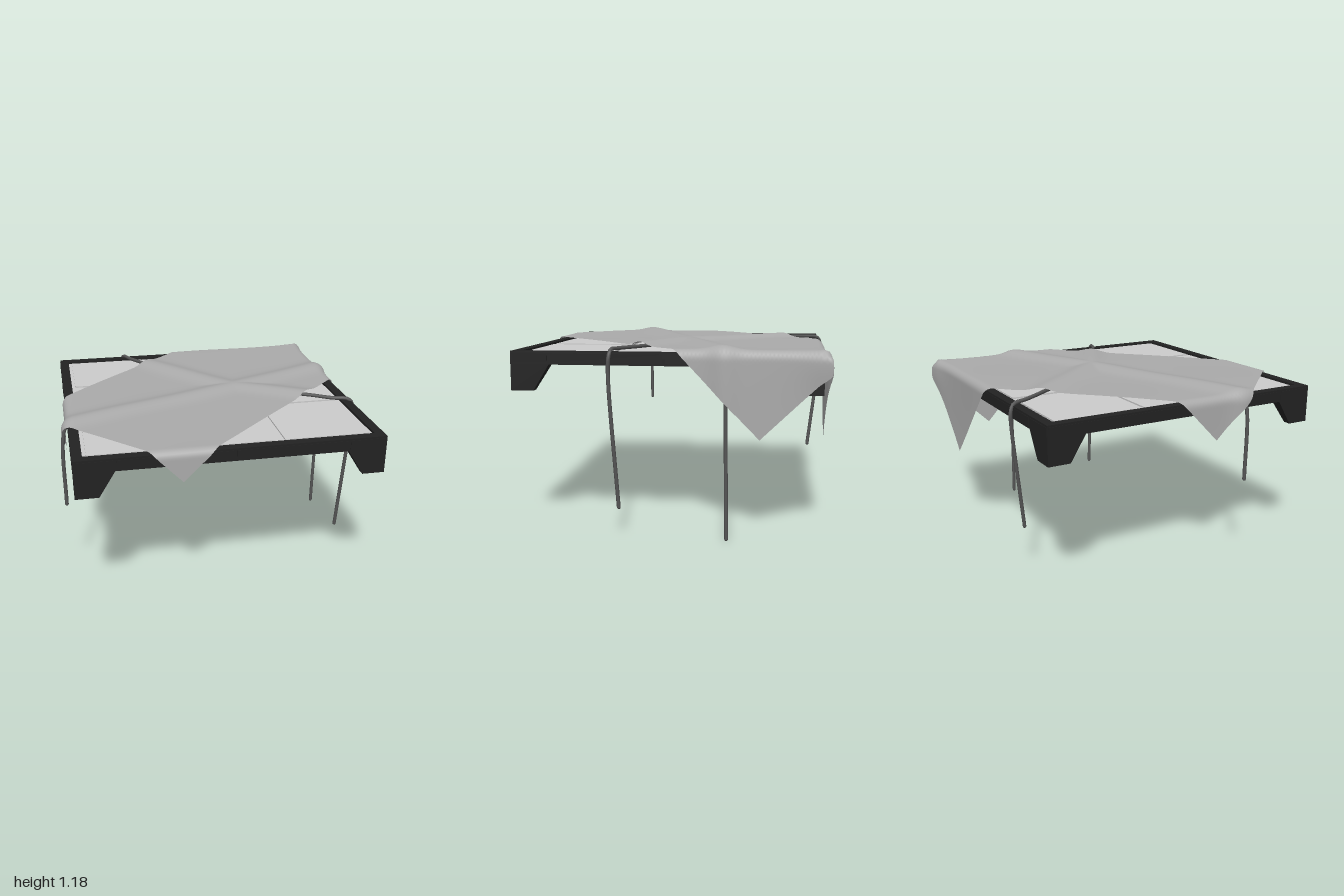
import * as THREE from 'three';
import { ConvexGeometry } from 'three/addons/geometries/ConvexGeometry.js';

const CZ = 0.01; // platform centre in z
const HALF = 0.94;

const mat = (color, extra = {}) => new THREE.MeshStandardMaterial({ color, ...extra });
const black = mat(0x222222);
const panelGrey = mat(0xcccccc);
const ropeGrey = mat(0x555555);
const clothGrey = mat(0xaaaaaa, { side: THREE.DoubleSide });

function add(parent, name, geometry, material, x = 0, y = 0, z = 0) {
  const mesh = new THREE.Mesh(geometry, material);
  mesh.name = name;
  mesh.position.set(x, y, z);
  parent.add(mesh);
  return mesh;
}

// Frame, inset floor, nine raised panels and side plates
function buildPlatform() {
  const g = new THREE.Group();
  g.name = 'platform';
  g.position.z = CZ;
  const inner = 0.88;
  add(g, 'underside', new THREE.BoxGeometry(2 * inner, 0.03, 2 * inner), black, 0, 1.065, 0);
  add(g, 'floor', new THREE.BoxGeometry(2 * inner, 0.04, 2 * inner), panelGrey, 0, 1.095, 0);
  for (let i = -1; i <= 1; i++) {
    for (let j = -1; j <= 1; j++) {
      add(g, 'floorPanel', new THREE.BoxGeometry(0.53, 0.01, 0.53), panelGrey, i * 0.592, 1.119, j * 0.592);
    }
  }
  const rim = new THREE.Shape();
  rim.moveTo(-HALF, -HALF).lineTo(HALF, -HALF).lineTo(HALF, HALF).lineTo(-HALF, HALF).closePath();
  const hole = new THREE.Path();
  hole.moveTo(-inner, -inner).lineTo(-inner, inner).lineTo(inner, inner).lineTo(inner, -inner).closePath();
  rim.holes.push(hole);
  const rimGeo = new THREE.ExtrudeGeometry(rim, { depth: 0.08, bevelEnabled: false });
  rimGeo.rotateX(-Math.PI / 2);
  add(g, 'rim', rimGeo, black, 0, 1.05, 0);
  for (let k = 0; k < 4; k++) {
    const side = new THREE.Group();
    side.name = 'rimSide';
    side.rotation.y = k * Math.PI / 2;
    for (const s of [-1, 1]) {
      add(side, 'sidePlate', new THREE.BoxGeometry(0.68, 0.055, 0.006), black, s * 0.35, 1.09, HALF);
      add(side, 'endPlate', new THREE.BoxGeometry(0.22, 0.055, 0.006), black, s * 0.82, 1.09, HALF);
    }
    g.add(side);
  }
  return g;
}

// Tapered corner feet: vertical outer faces, sloping inner faces
function buildFeet() {
  const g = new THREE.Group();
  g.name = 'feet';
  g.position.z = CZ;
  const ring = (y, len, t) => [[0, 0], [len, 0], [len, t], [t, len], [0, len]]
    .map(([a, b]) => new THREE.Vector3(HALF - a, y, HALF - b));
  const geo = new ConvexGeometry([...ring(0.89, 0.14, 0.05), ...ring(1.052, 0.24, 0.08)]);
  for (let k = 0; k < 4; k++) {
    add(g, 'foot', geo, black).rotation.y = k * Math.PI / 2;
  }
  return g;
}

// Two ropes crossing under the cloth, ends hanging free
const ROPES = [
  [[-0.43, 0.33, -0.87], [-0.463, 1.0, -0.945], [-0.468, 1.09, -0.948], [-0.455, 1.135, -0.925],
    [-0.41, 1.145, -0.82], [-0.32, 1.145, -0.69], [0.2, 1.145, -0.05], [0.68, 1.145, 0.21],
    [0.83, 1.145, 0.305], [0.92, 1.143, 0.332], [0.952, 1.11, 0.338], [0.95, 1.0, 0.345], [0.91, 0.17, 0.3]],
  [[-0.985, 0.59, 0.42], [-0.977, 1.03, 0.42], [-0.95, 1.125, 0.41], [-0.88, 1.145, 0.385],
    [-0.4, 1.145, 0.2], [0.2, 1.145, -0.03], [0.6, 1.145, -0.2], [0.88, 1.145, -0.33],
    [0.943, 1.125, -0.35], [0.961, 1.03, -0.355], [0.963, 0.012, -0.37]],
];

function buildRopes() {
  const g = new THREE.Group();
  g.name = 'ropes';
  for (const points of ROPES) {
    const pts = points.map((p) => new THREE.Vector3(...p));
    const curve = new THREE.CatmullRomCurve3(pts, false, 'centripetal');
    add(g, 'rope', new THREE.TubeGeometry(curve, 160, 0.012, 8), ropeGrey);
    for (const p of [pts[0], pts[pts.length - 1]]) {
      add(g, 'ropeEnd', new THREE.SphereGeometry(0.012, 8, 6), ropeGrey, p.x, p.y, p.z);
    }
  }
  return g;
}

// Rope routes on the unfolded cloth, used to raise ridges
const RIDGES = [
  [[-0.46, -0.95], [-0.32, -0.69], [0.2, -0.05], [0.68, 0.21], [0.95, 0.34]],
  [[-1.6, 0.42], [-0.95, 0.41], [0.2, -0.03], [0.92, -0.345], [1.6, -0.36]],
];

function distanceTo(path, x, z) {
  let best = Infinity;
  for (let i = 1; i < path.length; i++) {
    const [ax, az] = path[i - 1];
    const dx = path[i][0] - ax, dz = path[i][1] - az;
    const t = THREE.MathUtils.clamp(((x - ax) * dx + (z - az) * dz) / (dx * dx + dz * dz), 0, 1);
    best = Math.min(best, Math.hypot(x - ax - t * dx, z - az - t * dz));
  }
  return best;
}

// Bend one coordinate over a rounded edge
function fold(v, edge, r = 0.045) {
  const e = Math.max(0, Math.abs(v) - edge), s = Math.sign(v);
  if (e === 0) return { pos: v, drop: 0, n: 0 };
  const a = Math.min(e / r, Math.PI / 2);
  const rest = Math.max(0, e - r * Math.PI / 2);
  return { pos: s * (edge + r * Math.sin(a)), drop: r * (1 - Math.cos(a)) + rest, n: s * Math.sin(a) };
}

// Rectangular cloth laid diagonally, its four corners hanging over the sides
function buildCloth() {
  const left = [-1.21, 0.21], front = [-0.31, 1.14], back = [0.54, -1.51], right = [1.46, -0.56];
  const geo = new THREE.PlaneGeometry(1, 1, 80, 140);
  const pos = geo.attributes.position, uv = geo.attributes.uv;
  const mix = (k, s, t) => (1 - t) * ((1 - s) * left[k] + s * front[k]) + t * ((1 - s) * back[k] + s * right[k]);
  for (let i = 0; i < pos.count; i++) {
    const x = mix(0, uv.getX(i), uv.getY(i)), z = mix(1, uv.getX(i), uv.getY(i));
    const fx = fold(x, 0.91), fz = fold(z - CZ, 0.91);
    const ridge = Math.max(...RIDGES.map((r) => Math.exp(-((distanceTo(r, x, z) / 0.085) ** 2))));
    const wave = 0.004 * Math.sin(5 * x + 3 * z) * Math.cos(4 * z - 2 * x);
    const corner = 0.025 * Math.exp(-((x - 1) ** 2 + (z + 1) ** 2) / 0.03);
    const lift = 0.004 + 0.026 * ridge + wave + corner * Math.min(1, Math.abs(fx.n) + Math.abs(fz.n));
    const ny = Math.sqrt(Math.max(0, 1 - fx.n ** 2 - fz.n ** 2));
    pos.setXYZ(i,
      fx.pos + fx.n * lift,
      1.146 - Math.hypot(fx.drop, fz.drop) + ny * lift,
      fz.pos + CZ + fz.n * lift);
  }
  geo.computeVertexNormals();
  return new THREE.Mesh(geo, clothGrey);
}

export function createModel() {
  const model = new THREE.Group();
  model.name = 'drapedPlatform';
  const cloth = buildCloth();
  cloth.name = 'cloth';
  model.add(buildPlatform(), buildFeet(), buildRopes(), cloth);
  return model;
}
